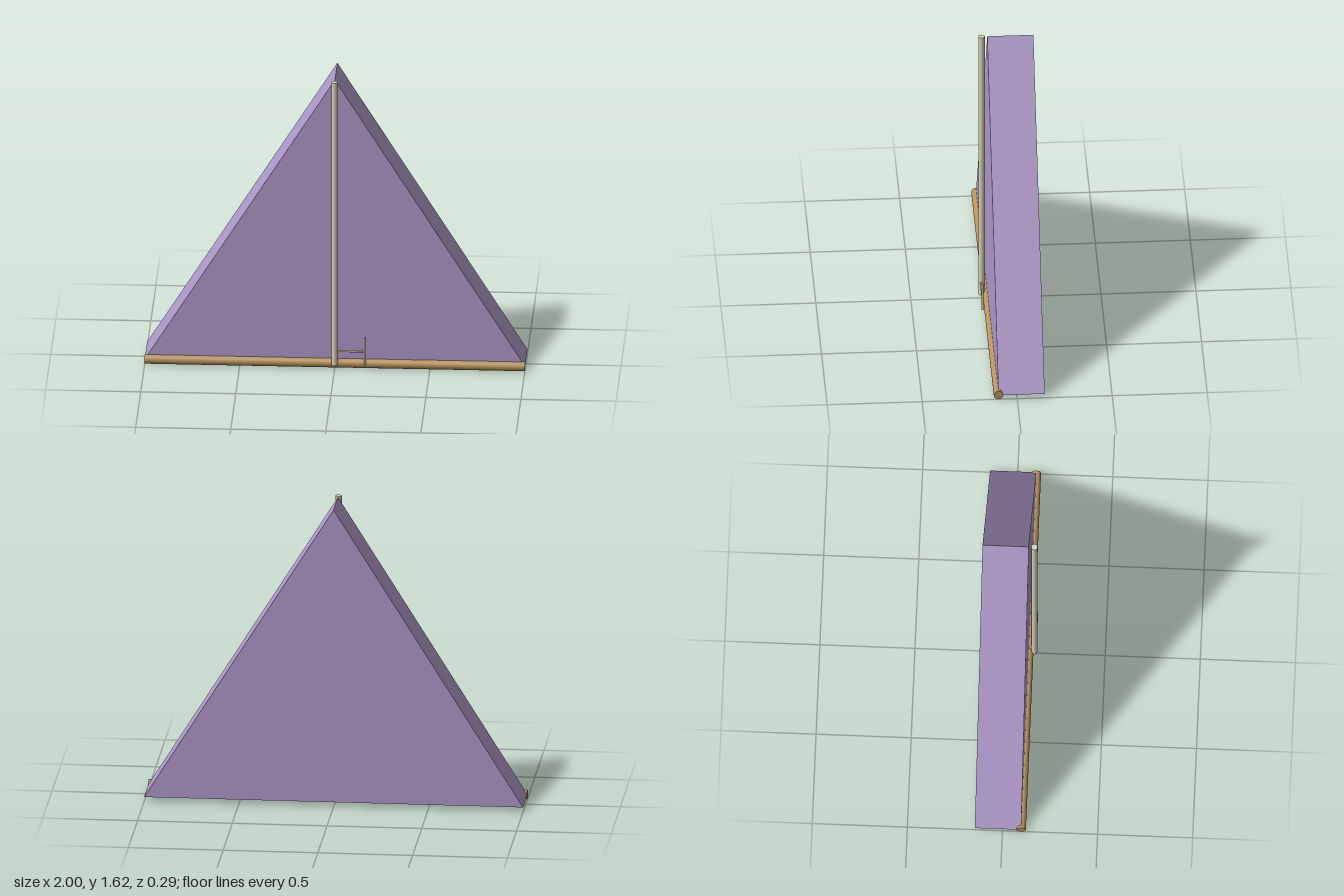
import * as THREE from 'three';

export function createModel() {
  const model = new THREE.Group();
  const mat = (name, color) => {
    const m = new THREE.MeshStandardMaterial({ color });
    m.name = name;
    return m;
  };
  const cloth = mat('purple cloth', 0xae98c9);
  const wood = mat('brown wood', 0xb8945e);
  const pale = mat('pale wood', 0xd8cfb6);
  const brass = mat('pale brass', 0xd2c794);

  // Round bar centred on a point, along x or y
  function bar(name, material, radius, length, position, alongX = false) {
    const geometry = new THREE.CylinderGeometry(radius, radius, length, 20);
    if (alongX) geometry.rotateZ(Math.PI / 2);
    const mesh = new THREE.Mesh(geometry, material);
    mesh.name = name;
    mesh.position.set(...position);
    model.add(mesh);
  }

  // Thick triangular sail
  const triangle = new THREE.Shape([
    new THREE.Vector2(-1, 0.025),
    new THREE.Vector2(1, 0.025),
    new THREE.Vector2(0, 1.625),
  ]);
  const sail = new THREE.Mesh(
    new THREE.ExtrudeGeometry(triangle, { depth: 0.243, bevelEnabled: false }), cloth);
  sail.name = 'sail';
  sail.position.z = -0.145;
  model.add(sail);

  // Spars
  bar('boom', wood, 0.025, 2, [0, 0.025, 0.098], true);
  bar('mast', pale, 0.017, 1.6, [0, 0.825, 0.128]);

  // Tiller with its upright grip
  bar('tillerArm', brass, 0.005, 0.16, [0.08, 0.105, 0.133], true);
  bar('tillerGrip', brass, 0.006, 0.155, [0.16, 0.107, 0.133]);

  return model;
}
